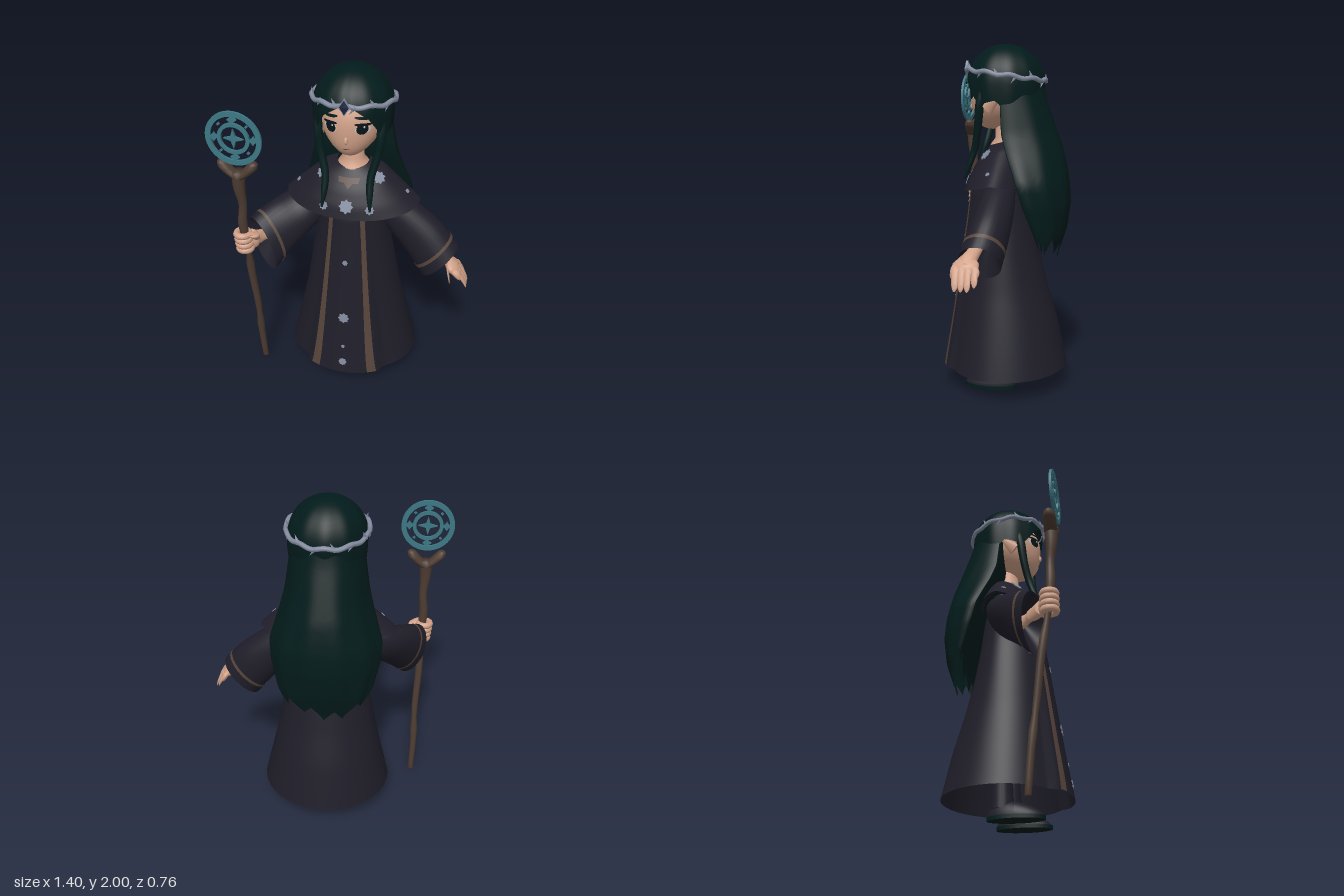
import * as THREE from 'three';

const V = (x, y, z) => new THREE.Vector3(x, y, z);
const mat = (name, color) => {
  const m = new THREE.MeshStandardMaterial({ color, side: THREE.DoubleSide });
  m.name = name;
  return m;
};

// Surface from a rule fn(u, v); u may close on itself
function grid(fn, nu, nv, closed = true) {
  const pos = [], idx = [], cols = closed ? nu : nu + 1;
  for (let j = 0; j <= nv; j++)
    for (let i = 0; i < cols; i++) pos.push(...fn(i / nu, j / nv).toArray());
  for (let j = 0; j < nv; j++)
    for (let i = 0; i < nu; i++) {
      const a = j * cols + i, b = j * cols + ((i + 1) % cols), c = a + cols, d = b + cols;
      idx.push(a, b, d, a, d, c);
    }
  const g = new THREE.BufferGeometry();
  g.setAttribute('position', new THREE.Float32BufferAttribute(pos, 3));
  g.setIndex(idx);
  g.computeVertexNormals();
  return g;
}

// Row of a table (first column is the key), linearly interpolated
function row(table, k) {
  let i = 0;
  while (i < table.length - 2 && k > table[i + 1][0]) i++;
  const a = table[i], b = table[i + 1];
  const t = THREE.MathUtils.clamp((k - a[0]) / (b[0] - a[0]), 0, 1);
  return a.map((n, q) => n + (b[q] - n) * t);
}

// Rule for a sleeve-like shape: sections of [centre, half axis, half axis]
function loft(sections) {
  const c = [0, 1, 2].map(k => new THREE.CatmullRomCurve3(sections.map(s => V(...s[k]))));
  return (u, v, s = 1) => c[0].getPoint(v)
    .addScaledVector(c[1].getPoint(v), s * Math.cos(u * 2 * Math.PI))
    .addScaledVector(c[2].getPoint(v), s * Math.sin(u * 2 * Math.PI));
}
// Round rod with blunt ends through [x, y, z, radius], its sections lying in x/z or y/z
const rod = (pts, across = false) => {
  const f = loft(pts.map(([x, y, z, r]) => [[x, y, z], across ? [0, r, 0] : [r, 0, 0], [0, 0, r]]));
  const size = v => (v <= 0 || v >= 1 ? 0 : 1);
  return grid((u, v) => f(u, THREE.MathUtils.clamp((v * 26 - 1) / 24, 0, 1), size(v)), 12, 26);
};

function starShape(n, R, r) {
  const s = new THREE.Shape();
  for (let i = 0; i < n * 2; i++) {
    const a = i * Math.PI / n, q = i % 2 ? r : R;
    s[i ? 'lineTo' : 'moveTo'](Math.sin(a) * q, Math.cos(a) * q);
  }
  return s;
}
function ringShape(R, r) {
  const s = new THREE.Shape().absarc(0, 0, R, 0, Math.PI * 2);
  s.holes.push(new THREE.Path().absarc(0, 0, r, 0, Math.PI * 2, true));
  return s;
}
const plate = (shape, depth) => new THREE.ExtrudeGeometry(shape, { depth, bevelEnabled: false, curveSegments: 32 });

// Oval garment layers: key, half width, front depth, back depth
const ROBE = [[0.13, 0.393, 0.36, 0.37], [0.4, 0.33, 0.315, 0.31], [0.6, 0.285, 0.285, 0.25], [0.8, 0.25, 0.255, 0.2],
  [1, 0.215, 0.225, 0.165], [1.2, 0.19, 0.2, 0.14], [1.34, 0.16, 0.12, 0.1]];
const CAPE = [[1.23, 0.385, 0.225, 0.155], [1.29, 0.32, 0.205, 0.145], [1.36, 0.24, 0.165, 0.13], [1.415, 0.175, 0.12, 0.105], [1.45, 0.09, 0.085, 0.08]];
const oval = (a, y, [, rx, zf, zb], o = 0) => V((rx + o) * Math.sin(a), y, Math.cos(a) * ((Math.cos(a) > 0 ? zf : zb) + o));
// The open coat sits slightly behind the centre panel
const robeAt = (a, y, o) => {
  const p = oval(a, y, row(ROBE, y), o), q = Math.abs(Math.atan2(Math.sin(a), Math.cos(a)));
  p.z -= 0.04 * THREE.MathUtils.clamp(1.2 - y, 0, 1) * THREE.MathUtils.smoothstep(q, 0.56, 0.68) * Math.max(0, Math.cos(a));
  p.x += 0.006 * THREE.MathUtils.clamp(1.2 - y, 0, 1);
  return p;
};
// The cape hem dips at front and back, and its collar rises behind
const capeAt = (a, y, o) => {
  const p = oval(a, y, row(CAPE, y), o), k = (y - 1.23) / 0.22, c = Math.cos(a);
  p.y -= c > 0 ? c * (0.055 - 0.033 * k) : c * (0.052 * k - 0.03);
  return p;
};

// Face: egg with a narrow forward chin
const FC = 1.72, FR = [0.17, 0.2, 0.18];
const jaw = s => (s < 0 ? 1 - 0.22 * s * s : 1), chin = s => 0.02 + (s < 0 ? 0.055 * s * s : 0);
const faceZ = (x, y) => {
  const s = (y - FC) / FR[1], q = x / (FR[0] * jaw(s));
  return Math.sqrt(Math.max(0, 1 - s * s - q * q)) * FR[2] + chin(s);
};

export function createModel() {
  const model = new THREE.Group();
  const M = {
    robe: mat('midnight cloth', 0x1f1e29), hair: mat('deep green hair', 0x031b1b), skin: mat('skin', 0xd2a289),
    wood: mat('wood', 0x4d3c32), teal: mat('teal metal', 0x3d7885), gold: mat('bronze trim', 0x56443a),
    silver: mat('silver', 0x828a9e), white: mat('eye white', 0xc9cccb), dark: mat('pupil', 0x0a1318), gem: mat('gem', 0x1f2740),
  };
  const add = (name, geo, m, parent = model) => {
    const mesh = new THREE.Mesh(geo, m);
    mesh.name = name;
    parent.add(mesh);
    return mesh;
  };
  const TAU = Math.PI * 2;

  // Robe, cape and front trims
  add('robe', grid((u, v) => robeAt(u * TAU, 0.13 + v * 1.21), 96, 24), M.robe);
  add('cape', grid((u, v) => capeAt(u * TAU, 1.23 + v * 0.22), 64, 12), M.robe);
  add('capeHem', grid((u, v) => capeAt(u * TAU, 1.23, -0.025 * v), 64, 1), M.robe);
  for (const s of [-1, 1])
    add('robeTrim', grid((u, v) => {
      const y = 0.135 + v * 1.06, x = s * (0.176 - 0.091 * Math.pow(v, 0.75) + (u - 0.5) * (0.024 + 0.028 * (1 - v) ** 2));
      return robeAt(Math.asin(x / row(ROBE, y)[1]), y, 0.005);
    }, 3, 24, false), M.gold);
  add('necklineTrim', grid((u, v) => capeAt((u - 0.5) * (0.55 + 0.15 * v), 1.394 + v * 0.022, 0.005), 10, 1, false), M.gold);
  add('necklinePoint', grid((u, v) => capeAt((u - 0.5) * 0.3 * v, 1.37 + v * 0.028, 0.005), 4, 1, false), M.gold);

  // Silver star ornaments laid on the cloth
  const ornament = (at, a, y, r) => {
    const p = at(a, y, 0.002), n = at(a + 0.05, y, 0).sub(at(a - 0.05, y, 0)).cross(at(a, y + 0.01, 0).sub(at(a, y - 0.01, 0))).normalize();
    const m = add('starOrnament', plate(starShape(8, r, r * 0.75), 0.004), M.silver);
    m.position.copy(p);
    m.lookAt(p.clone().add(n));
  };
  [[0.89, 0.017], [0.52, 0.034], [0.32, 0.012], [0.21, 0.026]].forEach(([y, r]) => ornament(robeAt, 0, y, r));
  ornament(capeAt, 0, 1.295, 0.042);
  for (const s of [-1, 1]) {
    ornament(capeAt, s * 0.95, 1.4, 0.038);
    ornament(capeAt, s * 0.4, 1.28, 0.027);
    ornament(capeAt, s * 1.42, 1.295, 0.014);
  }

  // Sleeves with cuff stripes
  const sleeves = {
    leftSleeve: loft([[[0.14, 1.23, -0.01], [0.05, 0.06, 0], [0, 0, 0.08]], [[0.285, 1.1, -0.01], [0.08, 0.085, 0], [0, 0, 0.1]],
      [[0.415, 0.975, 0], [0.095, 0.1, 0], [0, 0, 0.11]], [[0.522, 0.842, 0.022], [0.1, 0.105, 0], [0, 0, 0.115]]]),
    rightSleeve: loft([[[-0.14, 1.23, 0], [-0.05, 0.06, 0], [0.02, 0, 0.08]], [[-0.285, 1.11, 0.03], [-0.06, 0.095, 0], [0.06, 0, 0.085]],
      [[-0.4, 1.03, 0.13], [-0.05, 0.135, 0], [0.08, 0, 0.065]], [[-0.49, 0.945, 0.235], [-0.045, 0.17, 0], [0.08, 0, 0.055]]]),
  };
  for (const [name, f] of Object.entries(sleeves)) {
    add(name, grid((u, v) => f(u, v), 28, 16), M.robe);
    add('cuffStripe', grid((u, v) => f(u, 0.84 + 0.04 * v, 1.03), 28, 2), M.gold);
    add('cuffLining', grid((u, v) => f(u, 1 - 0.3 * v, 1 - 0.9 * v), 28, 2), M.robe);
  }

  // Open left hand
  const left = new THREE.Group();
  left.name = 'leftHand';
  model.add(left);
  add('wrist', rod([[0.47, 0.94, 0.04, 0.036], [0.54, 0.895, 0.055, 0.037], [0.59, 0.86, 0.07, 0.045], [0.635, 0.825, 0.075, 0.038]], true), M.skin, left);
  add('palm', new THREE.SphereGeometry(1, 16, 12).scale(0.055, 0.032, 0.07).rotateZ(-0.7).translate(0.605, 0.845, 0.075), M.skin, left);
  for (let i = 0; i < 4; i++) {
    const z = 0.02 + i * 0.033, k = i === 0 ? 0.02 : 0;
    add('finger', rod([[0.605, 0.845, z + 0.01, 0.02], [0.658 - k / 2, 0.805, z, 0.02], [0.688 - k, 0.752 + k, z - 0.005, 0.016], [0.695 - k, 0.735 + k, z - 0.005, 0.008]], true), M.skin, left);
  }
  add('thumb', rod([[0.57, 0.87, 0.1, 0.022], [0.585, 0.83, 0.135, 0.02], [0.597, 0.79, 0.15, 0.016], [0.6, 0.775, 0.152, 0.008]], true), M.skin, left);

  // Right hand gripping the staff
  const right = new THREE.Group();
  right.name = 'rightHand';
  model.add(right);
  add('forearm', rod([[-0.43, 0.98, 0.14, 0.04], [-0.49, 1, 0.23, 0.04], [-0.53, 1.02, 0.29, 0.045]], true), M.skin, right);
  add('palm', new THREE.SphereGeometry(0.055, 16, 12).scale(0.8, 1.15, 0.6).translate(-0.525, 1.02, 0.295), M.skin, right);
  for (let i = 0; i < 4; i++)
    add('finger', new THREE.TorusGeometry(0.035, 0.02, 8, 18).rotateX(Math.PI / 2).translate(-0.56 - 0.003 * i, 0.975 + i * 0.032, 0.327), M.skin, right);
  add('thumb', rod([[-0.5, 1.03, 0.3, 0.02], [-0.51, 1.08, 0.335, 0.02], [-0.545, 1.09, 0.36, 0.012]]), M.skin, right);

  // Crooked forked staff
  const staff = new THREE.Group();
  staff.name = 'staff';
  model.add(staff);
  add('shaft', rod([[-0.545, 0.02, 0.2, 0.018], [-0.55, 0.25, 0.22, 0.02], [-0.545, 0.5, 0.25, 0.02], [-0.555, 0.75, 0.28, 0.022], [-0.55, 1, 0.32, 0.022],
    [-0.56, 1.15, 0.335, 0.026], [-0.548, 1.27, 0.335, 0.023], [-0.555, 1.38, 0.345, 0.032], [-0.552, 1.49, 0.345, 0.04]]), M.wood, staff);
  for (const s of [-1, 1])
    add('fork', rod([[-0.552, 1.45, 0.345, 0.035], [-0.552 + s * 0.04, 1.482, 0.345, 0.037], [-0.552 + s * 0.07, 1.512, 0.345, 0.036],
      [-0.552 + s * 0.085, 1.54, 0.345, 0.027], [-0.552 + s * 0.088, 1.552, 0.345, 0.014]]), M.wood, staff);

  // Pierced disc above the fork
  const disc = new THREE.Group();
  disc.name = 'staffDisc';
  disc.position.set(-0.55, 1.695, 0.363);
  disc.rotation.y = -0.03;
  staff.add(disc);
  add('outerRing', plate(ringShape(0.153, 0.125), 0.014), M.teal, disc);
  add('innerRing', plate(ringShape(0.088, 0.068), 0.014), M.teal, disc);
  add('centreStar', plate(starShape(4, 0.055, 0.018), 0.014), M.teal, disc);
  for (let i = 0; i < 8; i++) {
    const a = i * Math.PI / 4, r = i % 2 ? 0.009 : 0.026;
    add('discStud', plate(starShape(4, r, r * 0.6), 0.014).translate(0.107 * Math.sin(a), 0.107 * Math.cos(a), 0), M.teal, disc);
  }

  // Boots, legs and soles
  for (const s of [-1, 1]) {
    const boot = new THREE.SphereGeometry(1, 24, 16), p = boot.attributes.position;
    for (let i = 0; i < p.count; i++) {
      const z = p.getZ(i);
      p.setXYZ(i, p.getX(i) * 0.07 + s * 0.122, Math.max(0.012, p.getY(i) * (0.085 - 0.03 * z) + 0.012), z * 0.153 + 0.063);
    }
    boot.computeVertexNormals();
    add('boot', boot, M.robe);
    add('leg', new THREE.CylinderGeometry(0.042, 0.064, 0.46, 20).translate(s * 0.115, 0.29, -0.012), M.robe);
    add('sole', new THREE.CylinderGeometry(1, 1, 0.02, 28).scale(0.072, 1, 0.157).translate(s * 0.122, 0.01, 0.063), M.hair);
  }

  // Head, neck, nose and pointed ears
  const head = new THREE.Group();
  head.name = 'head';
  model.add(head);
  const egg = new THREE.SphereGeometry(1, 36, 28), e = egg.attributes.position;
  for (let i = 0; i < e.count; i++) {
    const s = e.getY(i);
    e.setXYZ(i, e.getX(i) * FR[0] * jaw(s), FC + s * FR[1], e.getZ(i) * FR[2] + chin(s));
  }
  egg.computeVertexNormals();
  add('face', egg, M.skin, head);
  add('neck', new THREE.LatheGeometry([[0.1, 1.4], [0.085, 1.435], [0.06, 1.47], [0.055, 1.6]].map(q => new THREE.Vector2(...q)), 24), M.skin, head);
  add('nose', new THREE.SphereGeometry(1, 12, 10).scale(0.011, 0.022, 0.012).rotateX(-0.25).translate(0, 1.655, faceZ(0, 1.655)), M.skin, head);
  // Thin oval patch following the face
  const patch = (name, x, y, rx, ry, lift, m, tilt = 0) => {
    const g = new THREE.RingGeometry(0, 1, 24, 4).scale(rx, ry, 1).rotateZ(tilt).translate(x, y, 0), q = g.attributes.position;
    for (let i = 0; i < q.count; i++) q.setZ(i, faceZ(q.getX(i), q.getY(i)) + lift);
    g.computeVertexNormals();
    add(name, g, m, head);
  };
  for (const s of [-1, 1]) {
    patch('eyeWhite', s * 0.085, 1.72, 0.037, 0.027, 0.003, M.white);
    patch('iris', s * 0.084, 1.722, 0.029, 0.03, 0.005, M.dark);
    patch('eyeGlint', s * 0.084 + 0.01, 1.734, 0.005, 0.006, 0.007, M.white);
    patch('eyelid', s * 0.087, 1.747, 0.042, 0.008, 0.006, M.dark, -s * 0.12);
    patch('eyebrow', s * 0.083, 1.78, 0.04, 0.008, 0.004, M.hair, -s * 0.2);
    add('ear', new THREE.ConeGeometry(0.038, 0.14, 10).scale(0.4, 1, 1).rotateX(-0.8).rotateZ(-s * 0.35).translate(s * 0.185, 1.68, 0.02), M.skin, head);
  }
  patch('mouth', 0, 1.598, 0.017, 0.003, 0.004, M.gold);

  // Hair cap parted over the forehead, swept above the ears
  const hair = new THREE.Group();
  hair.name = 'hair';
  model.add(hair);
  const LINE = [[0, 1.865], [0.25, 1.835], [0.55, 1.79], [0.85, 1.7], [1.02, 1.66], [1.5, 1.685], [1.9, 1.61], [3.15, 1.58]];
  add('hairCap', grid((u, v) => {
    const a = (u - 0.5) * TAU, low = Math.asin((row(LINE, Math.abs(a))[1] - 1.78) / 0.22);
    const p = low + (Math.PI / 2 - low) * v, c = p > 0 ? Math.cos(p) : 1 - 0.1 * Math.sin(p) ** 2;
    const wave = c * (1 + 0.012 * Math.cos(a * 10) * Math.cos(p) - 0.03 * Math.exp(-a * a * 60));
    return V(0.219 * wave * Math.sin(a), 1.78 + 0.22 * Math.sin(p), 0.224 * wave * Math.cos(a));
  }, 80, 18), M.hair, hair);
  // Long back hair: key, half width, front z, back z; ragged lower edge
  const BACK = [[0.8, 0.2, -0.245, -0.31], [0.87, 0.235, -0.24, -0.335], [0.95, 0.265, -0.22, -0.36], [1.1, 0.305, -0.165, -0.38], [1.22, 0.315, -0.13, -0.372],
    [1.3, 0.29, -0.1, -0.36], [1.4, 0.258, -0.06, -0.34], [1.5, 0.233, -0.03, -0.305], [1.7, 0.205, -0.015, -0.235], [1.86, 0.18, 0, -0.2]];
  add('backHair', grid((u, v) => {
    const a = u * TAU, x = Math.abs(Math.sin(a)), zig = Math.abs(((u * 11) % 1) - 0.5) * 2;
    const y0 = 0.77 + 0.1 * x * x + 0.08 * zig + 0.02 * Math.sin(a * 3), y = y0 + (1.86 - y0) * v, [, w, zf, zb] = row(BACK, y);
    const c = Math.cos(a), fold = 1 + 0.02 * Math.cos(a * 11) * (1 - v);
    return V(w * Math.sin(a) * fold, y, zf + (c > 0 ? 0.02 * c : (zf - zb) * c * fold));
  }, 88, 28), M.hair, hair);
  // Slim locks falling in front of the shoulders
  for (const s of [-1, 1])
    add('frontLock', rod([[s * 0.17, 1.77, 0.09, 0.02], [s * 0.172, 1.66, 0.11, 0.026], [s * 0.155, 1.54, 0.125, 0.023], [s * 0.127, 1.42, 0.15, 0.022],
      [s * 0.127, 1.33, 0.18, 0.019], [s * 0.135, 1.24, 0.213, 0.006]]), M.hair, hair);

  // Thorned circlet with a brow gem
  const circlet = new THREE.Group();
  circlet.name = 'circlet';
  model.add(circlet);
  const band = a => V(0.224 * Math.sin(a), 1.828 + 0.032 * Math.cos(a) + 0.006 * Math.cos(a * 10), 0.225 * Math.cos(a) - 0.004);
  const loop = new THREE.CatmullRomCurve3(Array.from({ length: 60 }, (_, i) => band(i / 60 * TAU)), true);
  add('band', new THREE.TubeGeometry(loop, 120, 0.0135, 8, true), M.silver, circlet);
  for (let i = 0; i < 14; i++) {
    const a = (i + 0.5) / 14 * TAU, t = add('thorn', new THREE.ConeGeometry(0.014, 0.055, 6).translate(0, 0.02, 0), M.silver, circlet);
    t.position.copy(band(a));
    t.rotation.set(0, a, i % 2 ? 0.5 : 2.5);
  }
  add('gemSetting', plate(starShape(4, 0.05, 0.03), 0.014).scale(0.75, 1, 1).translate(0, 1.86, 0.22), M.silver, circlet);
  add('gem', new THREE.OctahedronGeometry(0.04).scale(0.62, 1, 0.22).translate(0, 1.86, 0.235), M.gem, circlet);

  return model;
}
